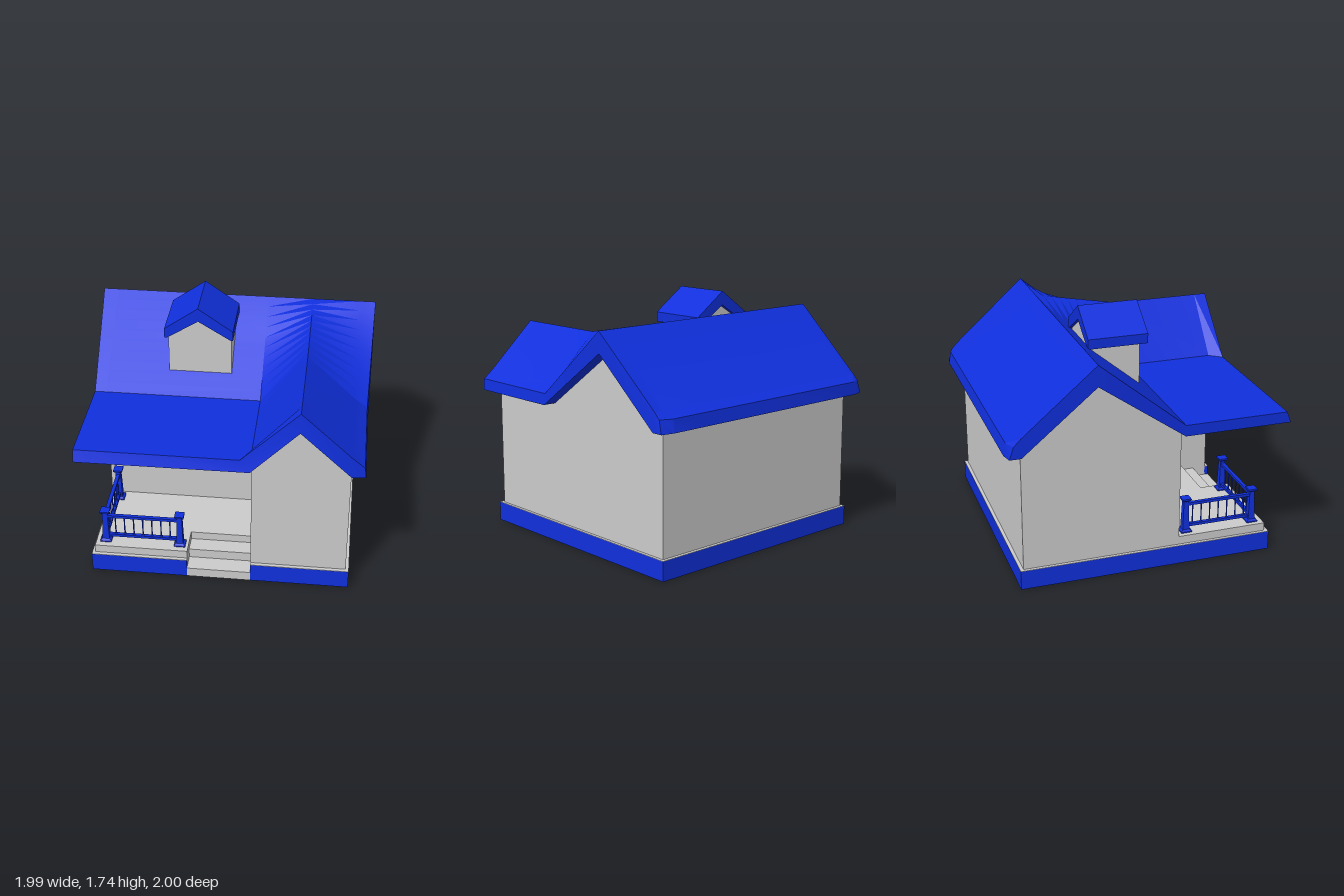
import * as THREE from 'three';
import { toCreasedNormals } from 'three/addons/utils/BufferGeometryUtils.js';

const BLUE = 0x102fdc;
const grey = new THREE.MeshStandardMaterial({ color: 0xcccccc, side: THREE.DoubleSide, flatShading: true });
const blue = new THREE.MeshStandardMaterial({ color: BLUE, side: THREE.DoubleSide, flatShading: true });
const smoothBlue = new THREE.MeshStandardMaterial({ color: BLUE, side: THREE.DoubleSide });

function add(parent, name, geometry, material, x = 0, y = 0, z = 0) {
  const mesh = new THREE.Mesh(geometry, material);
  mesh.name = name;
  mesh.position.set(x, y, z);
  parent.add(mesh);
}

// Box given by its extents
function block(parent, name, material, x0, x1, y0, y1, z0, z1) {
  add(parent, name, new THREE.BoxGeometry(x1 - x0, y1 - y0, z1 - z0), material,
    (x0 + x1) / 2, (y0 + y1) / 2, (z0 + z1) / 2);
}

const outline = pts => new THREE.Shape(pts.map(p => new THREE.Vector2(...p)));
// Flat panels: facing z with (x, y), facing x with (z, y), facing y with (x, z)
const panelZ = pts => new THREE.ShapeGeometry(outline(pts));
const panelX = pts => new THREE.ShapeGeometry(outline(pts)).rotateY(-Math.PI / 2);
const panelY = pts => new THREE.ShapeGeometry(outline(pts)).rotateX(Math.PI / 2);
const rect = (a0, a1, b0, b1) => [[a0, b0], [a1, b0], [a1, b1], [a0, b1]];
const prism = (pts, depth) => new THREE.ExtrudeGeometry(outline(pts), { depth, bevelEnabled: false });

// Blue plinth ring with a gap for the steps, and a thin grey ledge on it
function makePlinth() {
  const g = new THREE.Group();
  g.name = 'plinth';
  for (const [name, mat, y0, y1] of [['skirting', blue, 0, 0.137], ['ledge', grey, 0.137, 0.14]]) {
    block(g, name + 'Back', mat, -0.912, 0.912, y0, y1, -0.914, -0.885);
    block(g, name + 'Left', mat, 0.885, 0.912, y0, y1, -0.885, 0.878);
    block(g, name + 'Right', mat, -0.912, -0.885, y0, y1, -0.885, 0.878);
    block(g, name + 'FrontWing', mat, 0.22, 0.912, y0, y1, 0.878, 0.907);
    block(g, name + 'FrontPorch', mat, -0.912, -0.23, y0, y1, 0.878, 0.907);
  }
  return g;
}

// Open shell of walls around the L-shaped plan
function makeWalls() {
  const g = new THREE.Group();
  g.name = 'walls';
  add(g, 'backWall', panelZ(rect(-0.89, 0.89, 0.14, 1)), grey, 0, 0, -0.89);
  add(g, 'porchBackWall', panelZ(rect(-0.89, 0.22, 0.14, 1)), grey, 0, 0, 0.23);
  add(g, 'wingFrontWall', panelZ([[0.22, 0.14], [0.89, 0.14], [0.89, 1], [0.545, 1.33], [0.22, 1]]), grey, 0, 0, 0.88);
  add(g, 'wingInnerWall', panelX(rect(0.23, 0.88, 0, 1)), grey, 0.22);
  const gable = [[0.23, 1], [-0.39, 1.44], [-0.89, 1], [-0.89, 0.14]];
  add(g, 'leftGableWall', panelX([[0.88, 0.14], [0.88, 1], ...gable]), grey, 0.89);
  add(g, 'rightGableWall', panelX([[0.23, 0.14], ...gable]), grey, -0.89);
  return g;
}

// Porch floor with a notch for the steps
function makePorch() {
  const g = new THREE.Group();
  g.name = 'porch';
  add(g, 'porchFloor', panelY([[-0.89, 0.23], [-0.89, 0.88], [-0.23, 0.88], [-0.23, 0.66], [0.22, 0.66], [0.22, 0.23]]), grey, 0, 0.2);
  add(g, 'porchFrontEdge', panelZ(rect(-0.89, -0.23, 0.14, 0.2)), grey, 0, 0, 0.88);
  add(g, 'porchSideEdge', panelX(rect(0.23, 0.88, 0.14, 0.2)), grey, -0.89);
  add(g, 'stepCheek', panelX([[0.66, 0.14], [0.78, 0.14], [0.78, 0.07], [0.88, 0.07], [0.88, 0.2], [0.66, 0.2]]), grey, -0.23);
  const stepZ = [0.907, 0.78, 0.66], stepY = [0, 0.07, 0.14, 0.2];
  stepZ.forEach((z, i) => {
    add(g, 'riser', panelZ(rect(-0.23, 0.22, stepY[i], stepY[i + 1])), grey, 0, 0, z);
    if (i < 2) add(g, 'tread', panelY(rect(-0.23, 0.22, stepZ[i + 1], z)), grey, 0, stepY[i + 1]);
  });
  return g;
}

// One straight run of railing along +x, starting at the origin
function makeRailing(length) {
  const g = new THREE.Group();
  g.name = 'railing';
  for (const y of [0.245, 0.41]) block(g, 'rail', blue, 0, length, y - 0.01, y + 0.01, -0.013, 0.013);
  const profile = [[0.013, 0.25], [0.006, 0.262], [0.004, 0.33], [0.006, 0.393], [0.013, 0.405]];
  const baluster = new THREE.LatheGeometry(profile.map(p => new THREE.Vector2(...p)), 8);
  for (let i = 1; i <= 7; i++) add(g, 'baluster', baluster, smoothBlue, length / 2 + (i - 4) * 0.065);
  return g;
}

// Square tapered post with stepped foot and cap
function makePost(x, z) {
  const g = new THREE.Group();
  g.name = 'railingPost';
  const levels = [[0, 0.202], [0.08, 0.202], [0.08, 0.21], [0.05, 0.222], [0.036, 0.435], [0.066, 0.448], [0.066, 0.46], [0, 0.46]];
  add(g, 'post', new THREE.LatheGeometry(levels.map(([w, y]) => new THREE.Vector2(w * Math.SQRT1_2, y)), 4, Math.PI / 4), blue);
  g.position.set(x, 0, z);
  return g;
}

// Main roof: top and bottom sheets on one grid, joined along the rim.
// The wing ridge melts into the main ridge through extra rows between them.
function makeRoof() {
  const xs = [-0.97, -0.89, 0.22, 0.545, 0.89, 0.975];
  const topY = [
    [1.09, 1.09, 1.09, 1.09, 1.09, 1.09],
    [1.14, 1.14, 1.14, 1.14, 1.14, 1.14],
    [1.59, 1.59, 1.59, 1.59, 1.59, 1.59],
    [1.08, 1.08, 1.08, 1.47, 1.14, 1.08],
    [1.08, 1.08, 1.08, 1.47, 1.14, 1.08],
    [1.08, 1.08, 1.08, 1.47, 1.15, 1.08]];
  const zs = [-0.985, -0.9, -0.39, 0.23, 0.88, 0.97];
  const frontZ = [1, 1, 0.995, 0.985, 0.975, 0.965];
  const lowY = (r, c) => r < 2 ? 1 : r === 2 ? 1.44 : c === 3 ? 1.33 : 1;
  const n = xs.length;
  const sheet = upper => {
    const rows = zs.map((z, r) => xs.map((x, c) => {
      const p = new THREE.Vector3(x, upper ? topY[r][c] : lowY(r, c), z);
      const end = c === 0 || c === n - 1;
      if (r === 2 && end) p.x = Math.sign(x) * 0.995;
      else if (!upper && c === n - 1) p.x = 0.985;
      if (upper && r === 0 && end) p.z = -0.95;
      if (upper && r === 5 && c === 2) p.x = 0.15;
      if (!upper && r === 0) p.z = end ? -0.98 : -1;
      if (!upper && r === 5) p.z = frontZ[c];
      return p;
    }));
    const blend = [];
    for (let i = 1; i < 10; i++) blend.push(rows[2].map((p, c) => p.clone().lerp(rows[3][c], i / 10)));
    rows.splice(3, 0, ...blend);
    return rows;
  };
  const points = [...sheet(true), ...sheet(false)].flat();
  const m = points.length / n / 2, low = m * n, index = [];
  const id = (r, c) => r * n + c;
  for (let r = 0; r < m - 1; r++) for (let c = 0; c < n - 1; c++) {
    const a = id(r, c), b = id(r, c + 1), d = id(r + 1, c), e = id(r + 1, c + 1);
    index.push(a, d, b, b, d, e, a + low, b + low, d + low, b + low, e + low, d + low);
  }
  const rim = (p, q) => index.push(p, q, p + low, q, q + low, p + low);
  for (let c = 0; c < n - 1; c++) {
    rim(id(0, c), id(0, c + 1));
    rim(id(m - 1, c + 1), id(m - 1, c));
  }
  for (let r = 0; r < m - 1; r++) {
    rim(id(r + 1, 0), id(r, 0));
    rim(id(r, n - 1), id(r + 1, n - 1));
  }
  const geo = new THREE.BufferGeometry().setFromPoints(points);
  geo.setIndex(index);
  return toCreasedNormals(geo, 0.35);
}

// Dormer standing on the front slope
function makeDormer() {
  const g = new THREE.Group();
  g.name = 'dormer';
  const sides = prism([[0.08, 1.2], [0.08, 1.5], [-0.27, 1.5], [-0.27, 1.48]], 0.45).rotateY(-Math.PI / 2);
  add(g, 'dormerWalls', sides, grey);
  add(g, 'dormerGable', prism([[-0.45, 1.5], [0, 1.5], [-0.225, 1.64]], 0.35), grey, 0, 0, -0.27);
  const roof = [[-0.47, 1.5], [-0.45, 1.5], [-0.23, 1.64], [0, 1.5], [0.015, 1.5], [0.015, 1.57], [-0.23, 1.74], [-0.47, 1.57]];
  add(g, 'dormerRoof', prism(roof, 0.43), blue, 0, 0, -0.295);
  return g;
}

export function createModel() {
  const house = new THREE.Group();
  house.name = 'house';
  house.add(makePlinth(), makeWalls(), makePorch(), makeDormer());
  add(house, 'mainRoof', makeRoof(), smoothBlue);

  // Railings along the front and the open side of the porch
  const front = makeRailing(0.53);
  front.position.set(-0.82, 0, 0.8);
  const side = makeRailing(0.5);
  side.rotation.y = Math.PI / 2;
  side.position.set(-0.82, 0, 0.8);
  house.add(front, side, makePost(-0.82, 0.8), makePost(-0.29, 0.8), makePost(-0.82, 0.3));
  return house;
}
